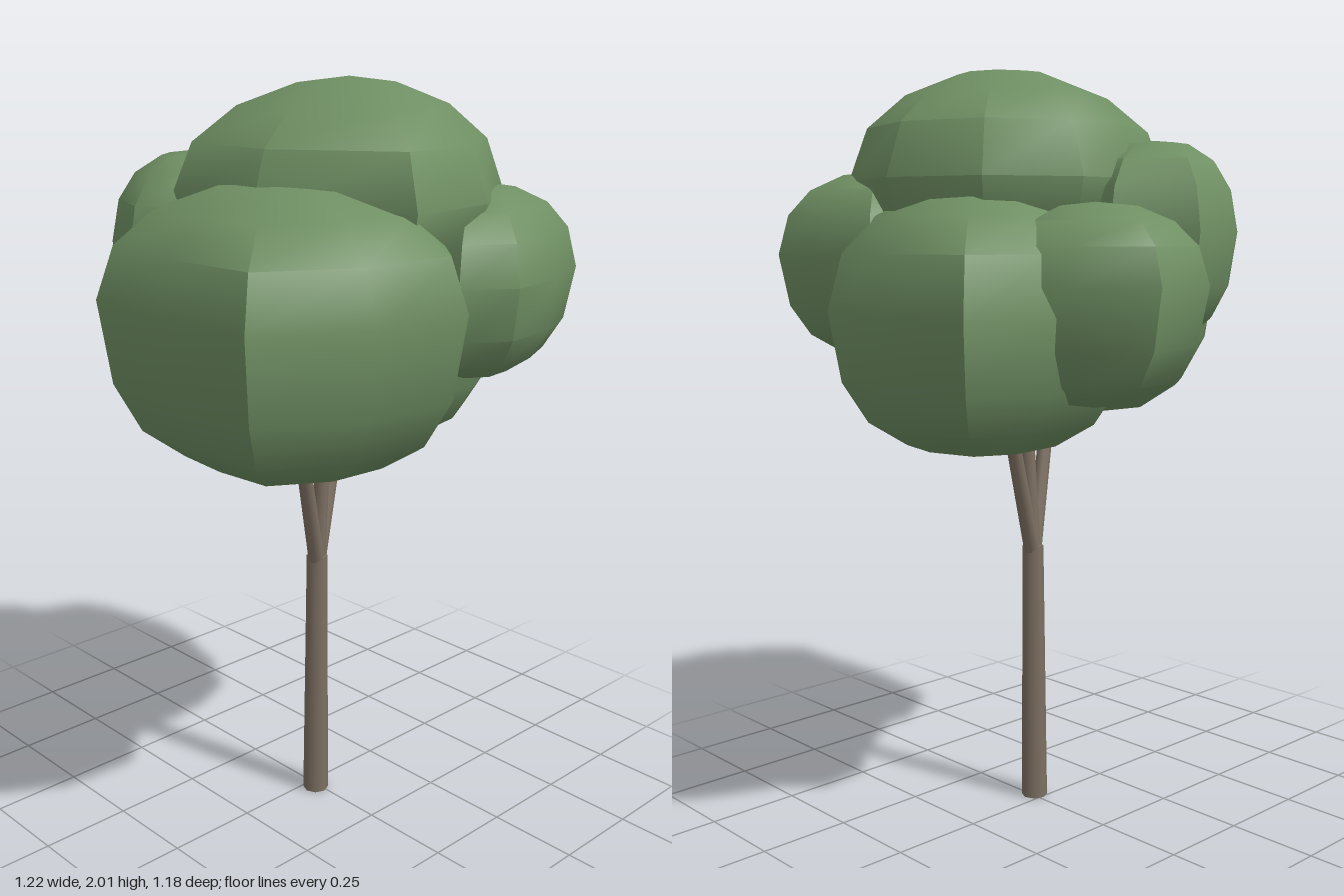
import * as THREE from 'three';
import { toCreasedNormals } from 'three/addons/utils/BufferGeometryUtils.js';

// Foliage clumps: [bottom, widest, top] heights, [lower, upper] curve powers (small is boxy)
// and the plan outline as [x, z] corners
const CLUMPS = [
  { name: 'leftFoliage', heights: [1.08, 1.5, 1.78], powers: [0.5, 0.85],
    outline: [[-0.58, -0.14], [-0.38, -0.28], [-0.02, -0.24], [0.15, 0.08], [0.1, 0.42],
      [-0.06, 0.59], [-0.34, 0.57], [-0.59, 0.42], [-0.61, 0.14]] },
  { name: 'rightFoliage', heights: [1.03, 1.39, 1.7], powers: [0.6, 0.85],
    outline: [[0.34, -0.41], [0.545, -0.32], [0.61, -0.06], [0.54, 0.21], [0.33, 0.33],
      [0, 0.3], [-0.12, -0.02], [0.02, -0.36]] },
  { name: 'frontFoliage', heights: [1.26, 1.53, 1.75], powers: [0.7, 0.85],
    outline: [[0.26, 0.06], [0.48, 0.11], [0.54, 0.28], [0.51, 0.47], [0.33, 0.55],
      [0.15, 0.57], [0.02, 0.49], [0.05, 0.2]] },
  { name: 'topFoliage', heights: [1.5, 1.72, 2.01], powers: [0.6, 1.05],
    outline: [[0, -0.34], [0.16, -0.32], [0.38, -0.2], [0.47, 0.05], [0.385, 0.32],
      [0.15, 0.46], [-0.12, 0.48], [-0.34, 0.16], [-0.33, -0.16]] },
  { name: 'backLeftFoliage', heights: [1.31, 1.59, 1.82], powers: [0.7, 0.75],
    outline: [[-0.2, -0.5], [-0.02, -0.535], [0.12, -0.37], [0.06, -0.1], [-0.15, -0.02],
      [-0.36, -0.1], [-0.41, -0.23], [-0.35, -0.39]] },
  { name: 'backRightFoliage', heights: [1.16, 1.46, 1.66], powers: [0.75, 0.85],
    outline: [[-0.03, -0.56], [0.18, -0.59], [0.34, -0.45], [0.39, -0.28], [0.25, -0.1],
      [0, -0.08], [-0.12, -0.25], [-0.12, -0.45]] },
];
const RING_ANGLES = [-72, -52, -30, 0, 28, 50, 72];

// Stacks the outline in rings that shrink towards both ends, each closed with a centre point
function clumpGeometry({ heights: [low, widest, high], powers, outline }) {
  const sides = outline.length;
  const box = new THREE.Box2().setFromPoints(outline.map(([x, z]) => new THREE.Vector2(x, z)));
  const centre = box.getCenter(new THREE.Vector2());
  const positions = [];
  for (const degrees of RING_ANGLES) {
    const angle = THREE.MathUtils.degToRad(degrees);
    const reach = degrees < 0 ? widest - low : high - widest;
    const scale = Math.cos(angle) ** (degrees < 0 ? powers[0] : powers[1]);
    for (const [x, z] of outline) {
      positions.push(
        THREE.MathUtils.lerp(centre.x, x, scale),
        widest + Math.sin(angle) * reach,
        THREE.MathUtils.lerp(centre.y, z, scale),
      );
    }
  }
  positions.push(centre.x, low, centre.y, centre.x, high, centre.y);

  const last = (RING_ANGLES.length - 1) * sides;
  const bottom = last + sides;
  const index = [];
  for (let i = 0; i < sides; i++) {
    const j = (i + 1) % sides;
    for (let r = 0; r < last; r += sides) {
      index.push(r + i, r + sides + i, r + j, r + j, r + sides + i, r + sides + j);
    }
    index.push(bottom, i, j, bottom + 1, last + j, last + i);
  }
  const geometry = new THREE.BufferGeometry();
  geometry.setAttribute('position', new THREE.Float32BufferAttribute(positions, 3));
  geometry.setIndex(index);
  return toCreasedNormals(geometry, 0.7);
}

// Tapered round limb between two points
function limb(name, from, to, startRadius, endRadius, material) {
  const a = new THREE.Vector3(...from);
  const b = new THREE.Vector3(...to);
  const direction = b.clone().sub(a);
  const mesh = new THREE.Mesh(new THREE.CylinderGeometry(endRadius, startRadius, direction.length(), 8), material);
  mesh.position.copy(a).add(b).multiplyScalar(0.5);
  mesh.quaternion.setFromUnitVectors(new THREE.Vector3(0, 1, 0), direction.normalize());
  mesh.name = name;
  return mesh;
}

export function createModel() {
  const model = new THREE.Group();
  model.name = 'tree';
  const leaf = new THREE.MeshStandardMaterial({ color: 0x6f8f63 });
  leaf.name = 'leafGreen';
  const bark = new THREE.MeshStandardMaterial({ color: 0x7d7062 });
  bark.name = 'barkBrown';

  // Trunk and three forked branches
  model.add(limb('trunk', [-0.01, 0, 0.03], [-0.005, 0.73, 0.03], 0.036, 0.029, bark));
  const tips = [['rightBranch', -0.17, 0.12], ['middleBranch', 0.01, 0.05], ['leftBranch', 0.185, -0.05]];
  for (const [name, x, z] of tips) {
    model.add(limb(name, [-0.005, 0.7, 0.03], [x, 1.22, z], 0.022, 0.018, bark));
  }

  // Canopy; names give the side as seen from the front
  for (const clump of CLUMPS) {
    const mesh = new THREE.Mesh(clumpGeometry(clump), leaf);
    mesh.name = clump.name;
    model.add(mesh);
  }
  return model;
}
